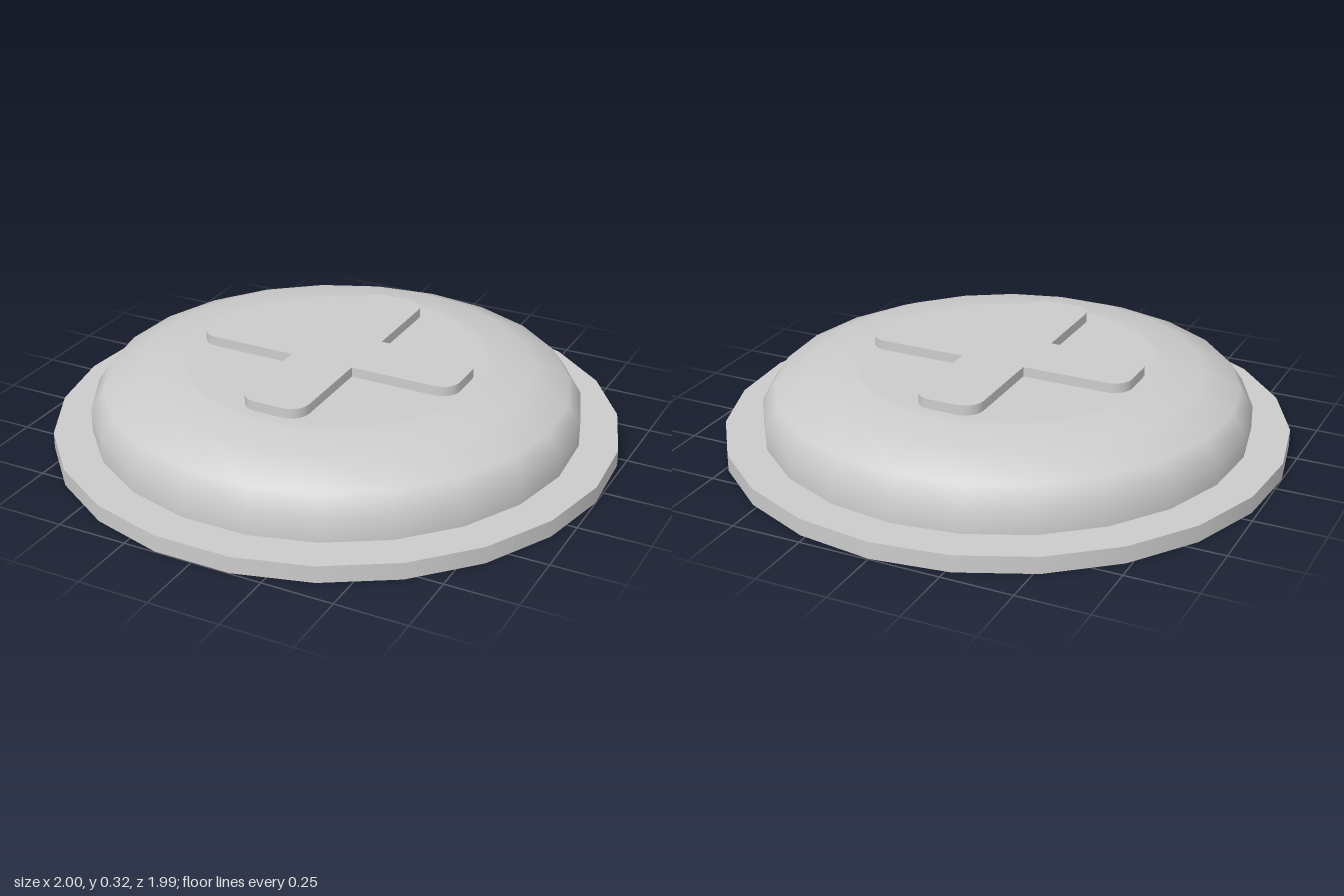
import * as THREE from 'three';
import { toCreasedNormals } from 'three/addons/utils/BufferGeometryUtils.js';

const SIDES = 23;

export function createModel() {
  const model = new THREE.Group();
  const body = new THREE.Group();
  body.name = 'button';
  body.position.z = 0.005;
  model.add(body);
  const material = new THREE.MeshStandardMaterial({ color: 0xcccccc, side: THREE.DoubleSide });

  const add = (name, geometry, parent = body) => {
    const mesh = new THREE.Mesh(geometry, material);
    mesh.name = name;
    parent.add(mesh);
    return mesh;
  };
  const lathe = (points) =>
    new THREE.LatheGeometry(points.map(([r, y]) => new THREE.Vector2(r, y)), SIDES, Math.PI);

  // Base flange: open-bottomed outer wall and a flat washer on top
  const flange = new THREE.Group();
  flange.name = 'flange';
  body.add(flange);
  add('flangeWall', lathe([[1.002, 0], [1.002, 0.06]]), flange);
  add('flangeTop', lathe([[1.002, 0.06], [0.75, 0.06]]), flange);

  // Domed shell, hollow underneath
  add('dome', lathe([
    [0.866, 0.054], [0.866, 0.145], [0.82, 0.213], [0.69, 0.268], [0.55, 0.288], [0.53, 0.289],
  ]));

  // Outline of the cross: four rounded arms with sharp inner corners
  const half = 0.117, reach = 0.492, round = 0.065, steps = 5;
  const outline = [];
  for (let arm = 0; arm < 4; arm++) {
    const pivot = new THREE.Vector2();
    const put = (x, y) => outline.push(new THREE.Vector2(x, y).rotateAround(pivot, arm * Math.PI / 2));
    put(half, -half);
    for (const side of [-1, 1]) {
      for (let i = 0; i <= steps; i++) {
        const a = (side < 0 ? -Math.PI / 2 : 0) + (i / steps) * Math.PI / 2;
        put(reach - round + round * Math.cos(a), side * (half - round) + round * Math.sin(a));
      }
    }
  }

  // Crown of the dome, opened below the cross
  const rim = [];
  for (let i = 0; i < SIDES; i++) {
    const a = Math.PI / 2 + (i / SIDES) * Math.PI * 2;
    rim.push(new THREE.Vector2(0.53 * Math.cos(a), 0.53 * Math.sin(a)));
  }
  const crown = new THREE.Shape(rim);
  crown.holes.push(new THREE.Path(outline));
  add('domeCrown', new THREE.ShapeGeometry(crown).rotateX(-Math.PI / 2).translate(0, 0.289, 0));

  // Raised cross: flat cap and thin side walls
  const cross = new THREE.Group();
  cross.name = 'cross';
  body.add(cross);
  add('crossCap', new THREE.ShapeGeometry(new THREE.Shape(outline))
    .rotateX(-Math.PI / 2).translate(0, 0.324, 0), cross);

  const wall = [];
  outline.forEach((p, i) => {
    const q = outline[(i + 1) % outline.length];
    const [a, b, c, d] = [[p, 0.287], [q, 0.287], [q, 0.324], [p, 0.324]]
      .map(([v, y]) => [v.x, y, -v.y]);
    wall.push(...a, ...b, ...c, ...a, ...c, ...d);
  });
  const wallGeometry = new THREE.BufferGeometry();
  wallGeometry.setAttribute('position', new THREE.Float32BufferAttribute(wall, 3));
  add('crossWall', toCreasedNormals(wallGeometry, 0.7), cross);

  return model;
}
